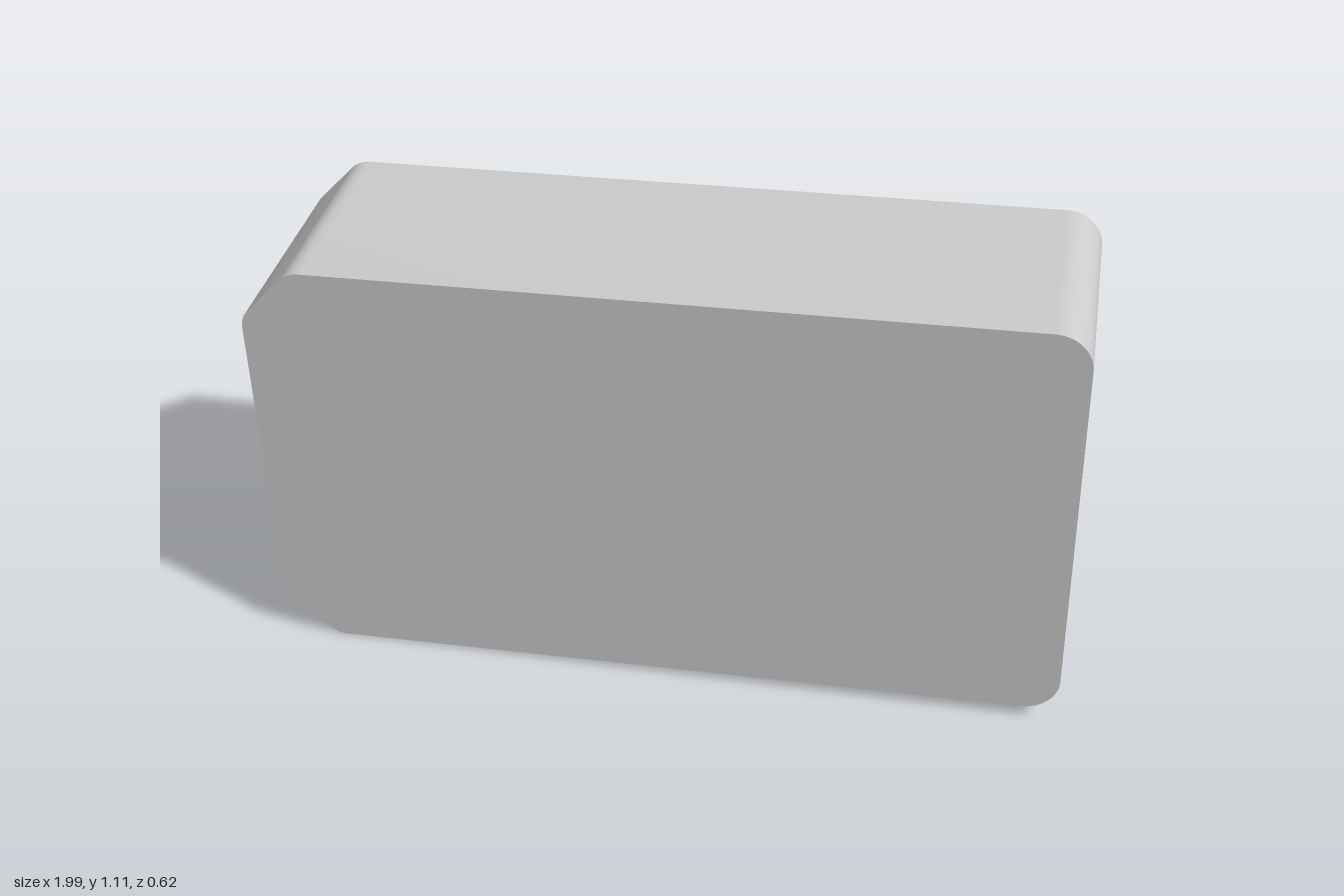
import * as THREE from 'three';
import { toCreasedNormals } from 'three/addons/utils/BufferGeometryUtils.js';

const W = 0.99, H = 0.54;                      // half width and half height
const FRONT = 0.307, STEP = -0.255, LIP = -0.304;
const SPLIT = 0;                               // depth where the screw holes end
const WEB = 0.046;                             // height of the ribs on the recessed floor
const HOLE = 0.046, BOSS = 0.08;
const screws = [[0.88, 0.43], [0.88, -0.43], [-0.84, 0.395], [-0.84, -0.395]];

const material = new THREE.MeshStandardMaterial({ color: 0xcccccc });

// Outline: round corners on +x, softened chamfers on -x, moved inwards by d
function outline(d, Type = THREE.Shape) {
  const w = W - d, h = H - d, r = 0.09 - d, c = 0.13 - 0.586 * d, k = 0.03, q = k * 0.707;
  const s = new Type();
  s.moveTo(-w + c + k, -h);
  s.lineTo(w - r, -h);
  s.absarc(w - r, -h + r, r, -Math.PI / 2, 0, false);
  s.lineTo(w, h - r);
  s.absarc(w - r, h - r, r, 0, Math.PI / 2, false);
  s.lineTo(-w + c + k, h);
  s.quadraticCurveTo(-w + c, h, -w + c - q, h - q);
  s.lineTo(-w + q, h - c + q);
  s.quadraticCurveTo(-w, h - c, -w, h - c - k);
  s.lineTo(-w, -h + c + k);
  s.quadraticCurveTo(-w, -h + c, -w + q, -h + c - q);
  s.lineTo(-w + c - q, -h + q);
  s.quadraticCurveTo(-w + c, -h, -w + c + k, -h);
  return s;
}

function circle(x, y, r, Type = THREE.Path) {
  return new Type().absarc(x, y, r, 0, Math.PI * 2, false);
}

function polygon(points, Type = THREE.Shape) {
  return new Type(points.map(p => new THREE.Vector2(...p)));
}

function extrude(shape, z0, z1) {
  const g = new THREE.ExtrudeGeometry(shape, { depth: z1 - z0, bevelEnabled: false, curveSegments: 20 });
  return g.translate(0, 0, z0);
}

// Draft: the body narrows slightly towards the front
function taper(g) {
  const p = g.attributes.position;
  for (let i = 0; i < p.count; i++) {
    const t = 0.006 * (p.getZ(i) - STEP) / (FRONT - STEP);
    p.setX(i, p.getX(i) * (1 - t / W));
    p.setY(i, p.getY(i) * (1 - t / H));
  }
  return g;
}

export function createModel() {
  const model = new THREE.Group();
  model.name = 'enclosureCover';

  const add = (name, geometry) => {
    const mesh = new THREE.Mesh(toCreasedNormals(geometry, 0.5), material);
    mesh.name = name;
    model.add(mesh);
  };
  const web = (name, shape) => add(name, extrude(shape, STEP - WEB, STEP + 0.002));

  // Thick body: solid front, back portion pierced by the screw holes
  add('frontBody', taper(extrude(outline(0), SPLIT, FRONT)));
  const back = outline(0);
  for (const [x, y] of screws) back.holes.push(circle(x, y, HOLE));
  add('backBody', taper(extrude(back, STEP, SPLIT)));

  // Raised sealing lip around the recessed floor
  const lip = outline(0.03);
  lip.holes.push(outline(0.06, THREE.Path));
  add('sealingLip', extrude(lip, LIP, STEP));

  // Screw bosses
  for (const [x, y] of screws) {
    const s = circle(x, y, BOSS - (x > 0 ? 0.005 : 0), THREE.Shape);
    s.holes.push(circle(x, y, HOLE));
    web('screwBoss', s);
  }

  // Curved web sweeping along the +x end into the lower corner
  const cx = 0.47, cy = 0.12, r = 0.465, a0 = -1.11, a1 = 0.12;
  const arc = new THREE.Shape();
  arc.absarc(cx, cy, r, a0, a1, false);
  arc.absarc(cx, cy, r + 0.033, a1, a0, true);
  web('curvedWeb', arc);
  web('lowerWebEnd', polygon([[0.66, -0.49], [0.695, -0.49], [0.695, -0.31], [0.677, -0.296], [0.66, -0.305]]));
  web('lowerWebBrace', polygon([[0.69, -0.34], [0.69, -0.38], [0.81, -0.46], [0.82, -0.41]]));

  // Upper corner web with a triangular pocket
  const upper = polygon([[0.935, 0.39], [0.81, 0.4], [0.83, 0.36], [0.77, 0.355], [0.69, 0.395], [0.65, 0.405],
    [0.65, 0.485], [0.81, 0.485], [0.81, 0.44]]);
  upper.holes.push(polygon([[0.79, 0.46], [0.79, 0.39], [0.69, 0.445]], THREE.Path));
  web('upperWeb', upper);

  // Locating ribs and pip on the floor
  const rib = (x, y0, y1) => polygon([[x - 0.02, y0], [x + 0.02, y0], [x + 0.02, y1], [x - 0.02, y1]]);
  web('lowerRib', rib(0.46, -0.49, -0.27));
  web('upperRib', rib(0.46, 0.405, 0.49));
  add('locatingPip', extrude(circle(0.29, -0.305, 0.022, THREE.Shape), STEP - 0.015, STEP + 0.002));

  // The whole cover leans slightly
  model.rotation.set(0.0096, 0, 0.0183);
  model.position.y = 0.558;
  const root = new THREE.Group();
  root.name = 'cover';
  root.add(model);
  return root;
}
